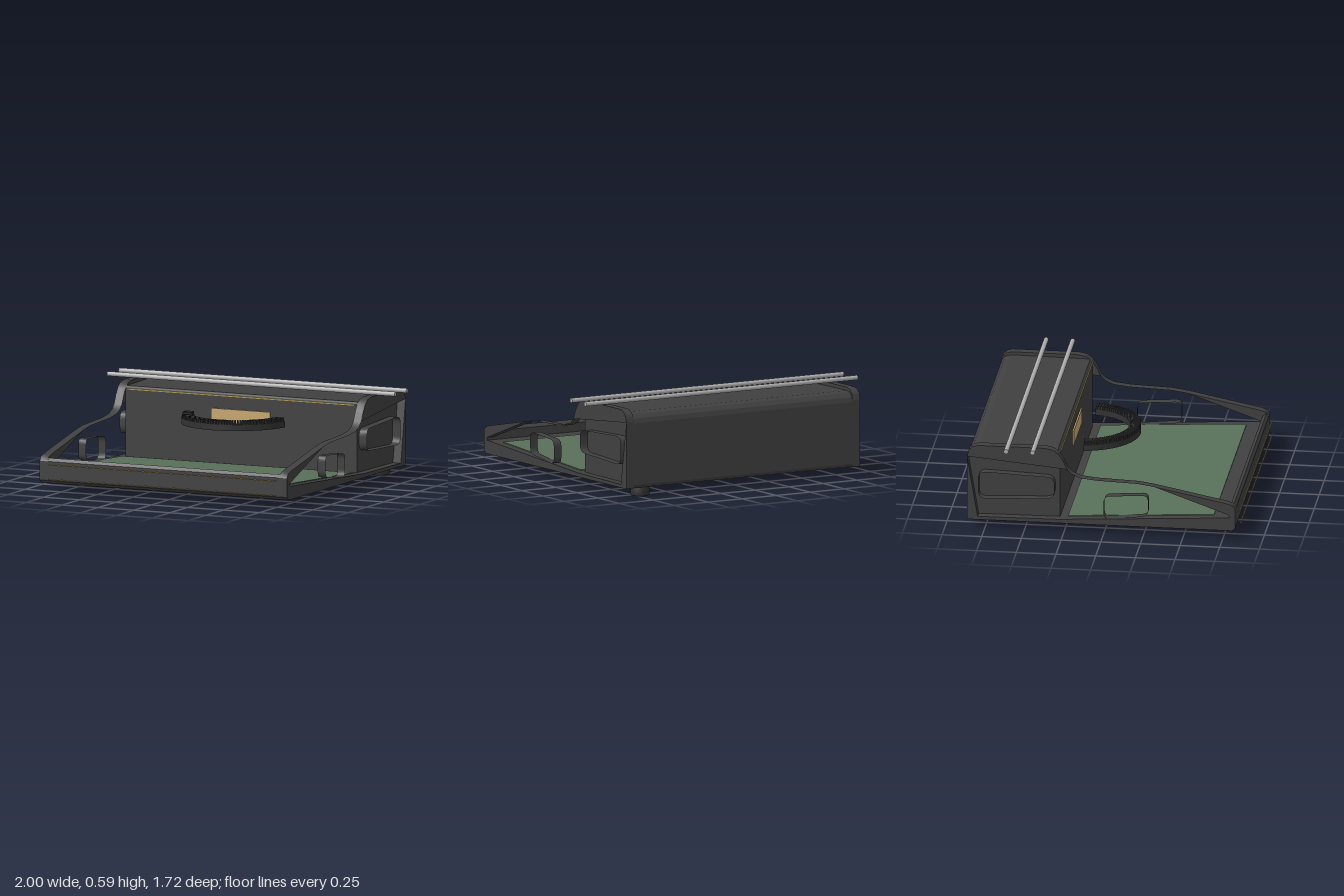
import * as THREE from 'three';

const mat = (name, color, side = THREE.FrontSide) => {
  const m = new THREE.MeshStandardMaterial({ color, side });
  m.name = name;
  return m;
};

export function createModel() {
  const group = new THREE.Group();
  const charcoal = mat('charcoal', 0x404040, THREE.DoubleSide);
  const black = mat('black', 0x323232);
  const green = mat('green', 0x587059);
  const steel = mat('steel', 0xb2b2b2);
  const tan = mat('tan', 0xc8a870);
  const gold = mat('gold', 0xb59c52);

  const add = (name, geo, material, x = 0, y = 0, z = 0) => {
    const m = new THREE.Mesh(geo, material);
    m.name = name;
    m.position.set(x, y, z);
    group.add(m);
    return m;
  };
  const box = (name, material, w, h, d, x, y, z) =>
    add(name, new THREE.BoxGeometry(w, h, d), material, x, y, z);

  // Side profile of [z, y] points, extruded across x
  const slab = (name, pts, x0, x1, material) => {
    const shape = new THREE.Shape(pts.map(p => new THREE.Vector2(p[0], p[1])));
    const g = new THREE.ExtrudeGeometry(shape, { depth: x1 - x0, bevelEnabled: false });
    g.rotateY(-Math.PI / 2).translate(x1, 0, 0);
    return add(name, g, material);
  };

  // Sheet-metal ribbon following [z, y] points
  const ribbon = (name, pts, x0, x1) => {
    const pos = [], idx = [];
    pts.forEach(([z, y], i) => {
      pos.push(x0, y, z, x1, y, z);
      if (i) {
        const a = 2 * i - 2;
        idx.push(a, a + 1, a + 2, a + 1, a + 3, a + 2);
      }
    });
    const g = new THREE.BufferGeometry();
    g.setAttribute('position', new THREE.Float32BufferAttribute(pos, 3));
    g.setIndex(idx);
    g.computeVertexNormals();
    return add(name, g, charcoal);
  };

  // Closed rounded quadrilateral path from four corners
  const roundLoop = (corners, r) => {
    const out = [];
    const v = corners.map(c => new THREE.Vector2(c[0], c[1]));
    v.forEach((c, i) => {
      const toward = q => c.clone().add(q.clone().sub(c).setLength(r));
      const curve = new THREE.QuadraticBezierCurve(toward(v[(i + 3) % 4]), c, toward(v[(i + 1) % 4]));
      curve.getPoints(5).forEach(p => out.push([p.x, p.y]));
    });
    out.push(out[0]);
    return out;
  };

  // Base tray with raised front wall
  slab('baseTray', [[-0.85, 0.06], [0.81, 0.06], [0.83, 0.08], [0.83, 0.2], [0.815, 0.22],
    [0.79, 0.2], [0.79, 0.145], [-0.28, 0.085], [-0.86, 0.08]], -0.86, 0.86, charcoal);

  // Green deck lying on the sloping tray
  slab('deck', [[-0.23, 0.087], [0.69, 0.139], [0.69, 0.144], [-0.23, 0.093]], -0.805, 0.805, green);

  // Rear housing
  slab('rearHousing', [[-0.28, 0.07], [-0.28, 0.515], [-0.295, 0.53], [-0.79, 0.535], [-0.83, 0.525],
    [-0.852, 0.5], [-0.86, 0.47], [-0.86, 0.08], [-0.845, 0.06]], -0.805, 0.805, charcoal);

  // Side frames, mirrored
  const arch = [[-0.23, 0.42], [-0.255, 0.475], [-0.285, 0.52], [-0.32, 0.545], [-0.37, 0.555],
    [-0.79, 0.555], [-0.825, 0.545], [-0.85, 0.52], [-0.86, 0.48]];
  for (const s of [-1, 1]) {
    const x0 = s > 0 ? 0.805 : -0.86, x1 = x0 + 0.055;
    ribbon('sideRibbon', [[0.83, 0.2], [0.815, 0.225], [0.78, 0.238], [0.32, 0.33], [0.22, 0.345],
      [-0.05, 0.355], [-0.15, 0.367], [-0.2, 0.39], ...arch, [-0.86, 0.07]], x0, x1);
    slab('frontBrace', [[0.83, 0.15], [0.83, 0.2], [0.815, 0.225], [0.78, 0.238], [0.32, 0.33],
      [0.79, 0.163]], x0, x1, charcoal);
    slab('sideArch', [...arch, [-0.28, 0.425]], x0, x1, charcoal);
    slab('rearBrace', [[-0.79, 0.06], [-0.86, 0.06], [-0.86, 0.48]], x0, x1, charcoal);
    ribbon('frontSideRing', roundLoop([[0.0, 0.1], [0.28, 0.13], [0.28, 0.27], [0.0, 0.25]], 0.04), x0, x1);
    ribbon('rearSideRing', roundLoop([[-0.31, 0.22], [-0.79, 0.2], [-0.79, 0.38], [-0.31, 0.36]], 0.05), x0, x1);
  }

  // Curved segment with radial teeth
  const arc = new THREE.Shape();
  const a0 = -0.1, a1 = Math.PI + 0.1, trim = 0.2;
  arc.absarc(0, 0, 0.35, a0 + trim, a1 - trim, false);
  arc.absarc(0, 0, 0.285, a1 - trim, a0 + trim, true);
  const seg = new THREE.ExtrudeGeometry(arc, { depth: 0.04, bevelEnabled: false, curveSegments: 36 });
  seg.rotateX(Math.PI / 2);
  add('segment', seg, black, 0, 0.395, -0.225);
  const teeth = 54;
  for (let i = 0; i < teeth; i++) {
    const a = a0 + trim + (i + 0.5) / teeth * (a1 - a0 - 2 * trim);
    const t = box('segmentTooth', black, 0.06, 0.022, 0.011,
      0.317 * Math.cos(a), 0.405, -0.225 + 0.317 * Math.sin(a));
    t.rotation.y = -a;
  }

  // Tan plate on the housing front
  box('frontPlate', tan, 0.41, 0.095, 0.009, 0, 0.382, -0.2745);

  // Gold trim lines
  box('housingTrim', gold, 1.58, 0.008, 0.006, 0, 0.512, -0.278);
  box('upperFrontTrim', gold, 1.58, 0.006, 0.006, 0, 0.182, 0.855);
  box('lowerFrontTrim', gold, 1.58, 0.003, 0.006, 0, 0.09, 0.855);

  // Steel rods over the housing
  for (const z of [-0.43, -0.597]) {
    const g = new THREE.CylinderGeometry(0.015, 0.015, 2, 16);
    g.rotateZ(Math.PI / 2);
    add('rod', g, steel, 0, 0.574, z);
  }

  // Rubber foot
  const foot = [[0, 0], [0.052, 0], [0.06, 0.008], [0.06, 0.052], [0.052, 0.062], [0, 0.062]];
  add('foot', new THREE.LatheGeometry(foot.map(p => new THREE.Vector2(p[0], p[1])), 20), black, 0.717, 0, -0.79);

  return group;
}
